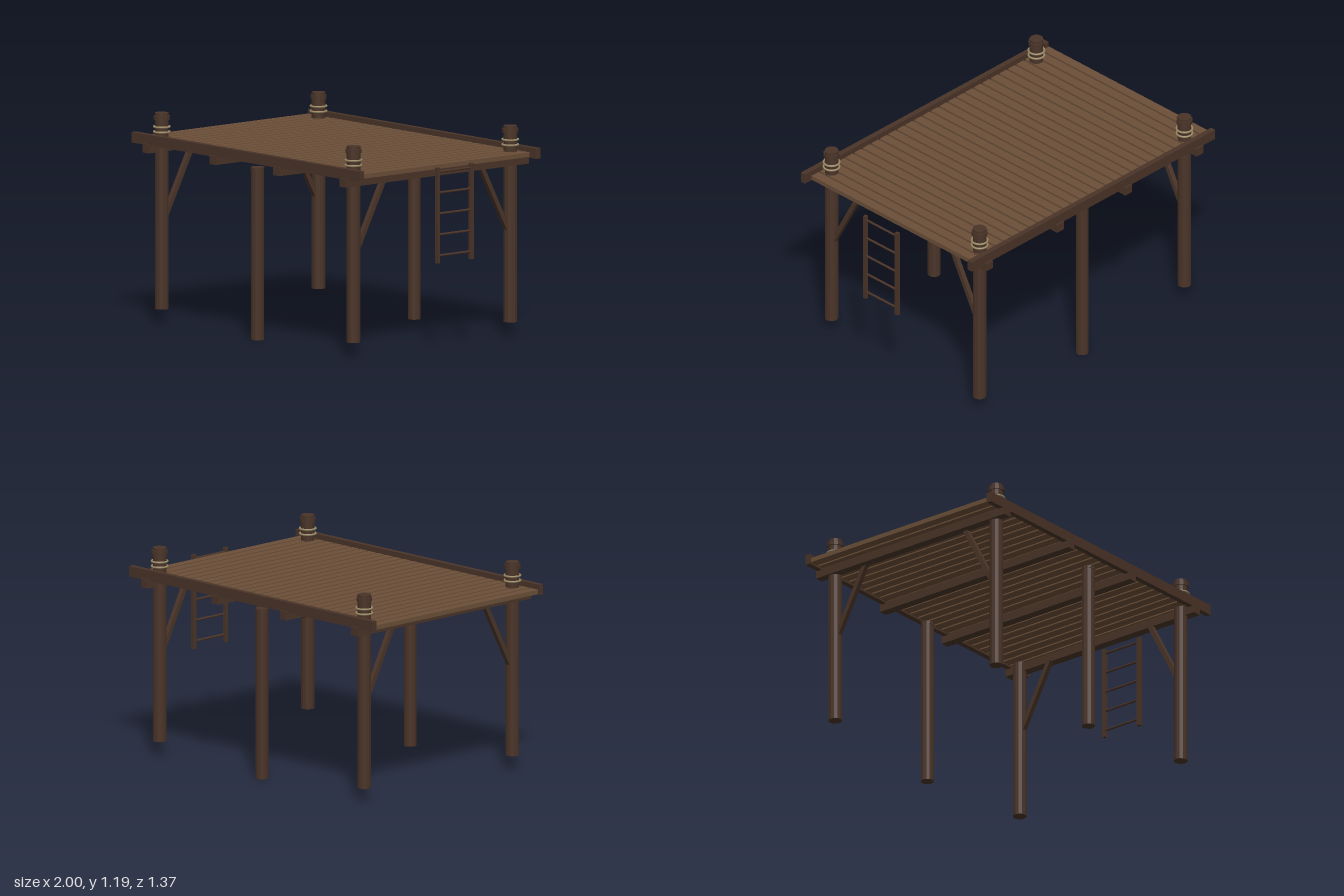
import * as THREE from 'three';

export function createModel() {
  const model = new THREE.Group();
  model.name = 'raisedDeck';

  const makeMaterial = (name, color, flatShading = false) => {
    const m = new THREE.MeshStandardMaterial({ color, flatShading });
    m.name = name;
    return m;
  };
  const darkWood = makeMaterial('darkWood', 0x4a3428, true);
  const plankWood = makeMaterial('plankWood', 0x6b4f38, true);
  const rope = makeMaterial('rope', 0x9a8a66);

  const add = (name, geometry, material, x, y, z, parent = model) => {
    const mesh = new THREE.Mesh(geometry, material);
    mesh.name = name;
    mesh.position.set(x, y, z);
    parent.add(mesh);
    return mesh;
  };
  const box = (name, material, w, h, d, x, y, z, parent) =>
    add(name, new THREE.BoxGeometry(w, h, d), material, x, y, z, parent);
  // Upright log between two heights
  const log = (name, r, y0, y1, x, z, parent) =>
    add(name, new THREE.CylinderGeometry(r, r, y1 - y0, 12), darkWood, x, (y0 + y1) / 2, z, parent);

  // Deck planks
  const planks = new THREE.Group();
  planks.name = 'deckPlanks';
  model.add(planks);
  const plankCount = 28;
  for (let i = 0; i < plankCount; i++) {
    box('plank', plankWood, 0.055, 0.026, 1.27, -0.97 + i * 0.0683, 1.035, 0, planks);
  }

  // Cross beams under the planks
  for (const x of [-0.868, -0.297, 0.249, 0.816]) {
    box('crossBeam', darkWood, 0.053, 0.05, 1.365, x, 0.997, 0);
  }

  // Brace outline in the side plane, cut flush with post and beam
  const braceShape = new THREE.Shape([
    new THREE.Vector2(0.55, 0.597),
    new THREE.Vector2(0.55, 0.654),
    new THREE.Vector2(0.38, 0.978),
    new THREE.Vector2(0.35, 0.978),
  ]);
  const braceGeometry = new THREE.ExtrudeGeometry(braceShape, { depth: 0.028, bevelEnabled: false });
  braceGeometry.translate(0, 0, -0.014);

  for (const side of [1, -1]) {
    const z = side * 0.583;

    // Long edge rail
    box('edgeRail', darkWood, 1.95, 0.06, 0.032, -0.025, 1.045, side * 0.656);

    // Corner posts with cap, rope rings and brace
    for (const x of [-0.845, 0.795]) {
      const corner = new THREE.Group();
      corner.name = 'cornerPost';
      model.add(corner);
      log('post', 0.039, 0.08, 1.194, x, z, corner);
      log('postCap', 0.046, 1.155, 1.178, x, z, corner);
      for (const y of [1.086, 1.115]) {
        const ring = add('ropeRing', new THREE.TorusGeometry(0.045, 0.006, 8, 24), rope, x, y, z, corner);
        ring.rotation.x = Math.PI / 2;
      }
      const brace = add('brace', braceGeometry, darkWood, x, 0, 0, corner);
      brace.rotation.y = -side * Math.PI / 2;
    }

    // Middle post
    log('middlePost', 0.037, 0, 0.97, -0.026, z);
    log('middlePostCap', 0.039, 0.964, 0.98, -0.026, z);
  }

  // Hanging ladder
  const ladder = new THREE.Group();
  ladder.name = 'ladder';
  model.add(ladder);
  for (const z of [0.125, -0.125]) {
    box('ladderRail', darkWood, 0.02, 0.543, 0.021, 0.988, 0.776, z, ladder);
  }
  for (let i = 0; i < 5; i++) {
    const rung = add('rung', new THREE.CylinderGeometry(0.007, 0.007, 0.25, 8), darkWood,
      0.988, 0.547 + i * 0.119, 0, ladder);
    rung.rotation.x = Math.PI / 2;
  }

  return model;
}
